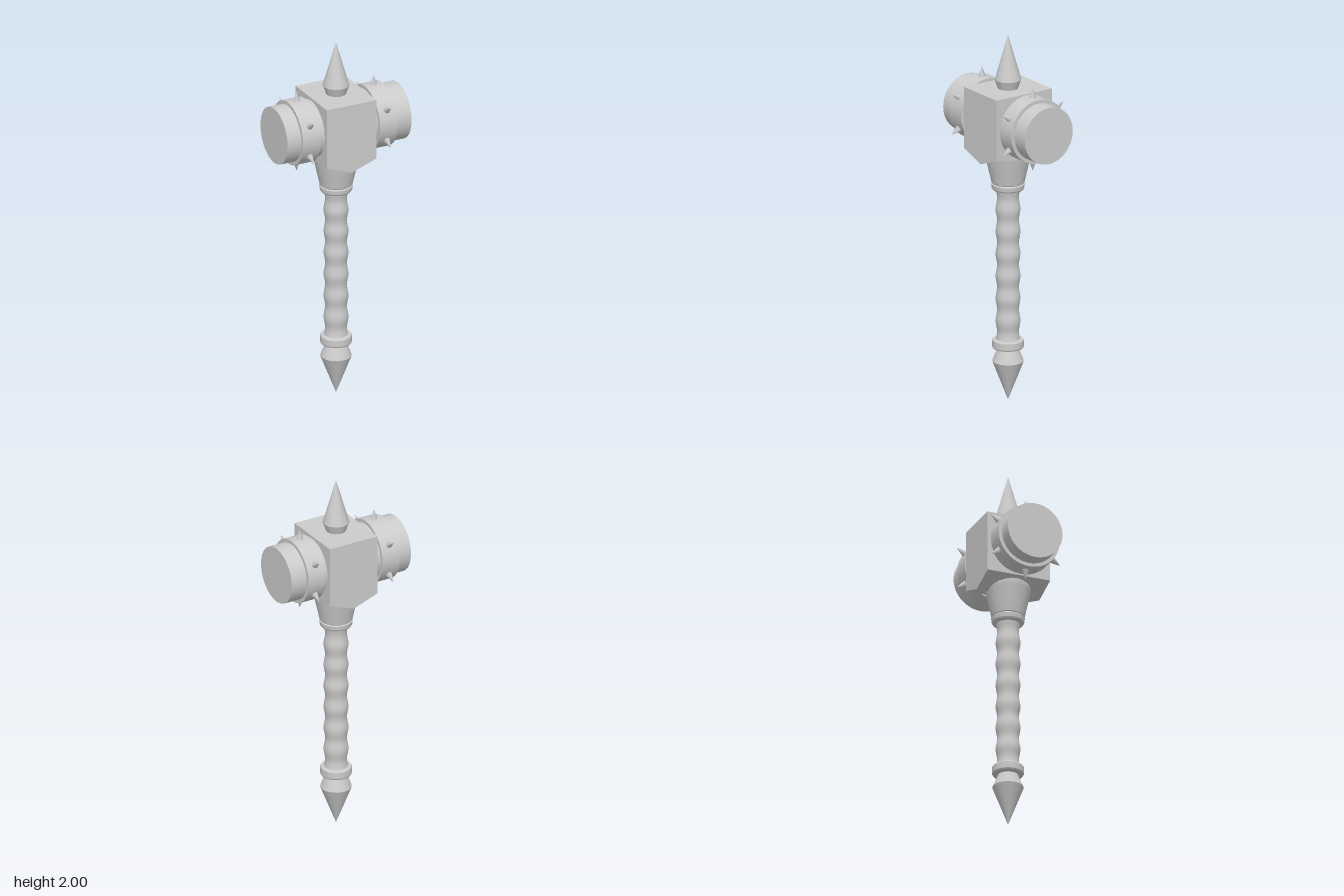
import * as THREE from 'three';
import { mergeGeometries } from 'three/addons/utils/BufferGeometryUtils.js';

const material = new THREE.MeshStandardMaterial({ color: 0xcccccc });

// Round part from [radius, y] points listed upwards, creased at every point
function turned(points, sides) {
  const rings = [];
  for (let i = 1; i < points.length; i++) {
    const [r0, y0] = points[i - 1], [r1, y1] = points[i];
    const ring = new THREE.CylinderGeometry(r1, r0, y1 - y0, sides, 1, true);
    rings.push(ring.translate(0, (y0 + y1) / 2, 0));
  }
  return mergeGeometries(rings);
}

export function createModel() {
  const model = new THREE.Group();
  const add = (name, geometry, parent = model) => {
    const mesh = new THREE.Mesh(geometry, material);
    mesh.name = name;
    parent.add(mesh);
    return mesh;
  };

  // Pointed pommel and its ring
  add('pommel', turned([[0, 0.005], [0.083, 0.217], [0.055, 0.285], [0.055, 0.3]], 16));
  add('pommelRing', turned([[0.05, 0.286], [0.079, 0.29], [0.083, 0.297], [0.083, 0.331],
    [0.079, 0.337], [0.05, 0.341]], 24));

  // Grip with evenly spaced swellings
  const grip = [];
  for (let i = 0; i <= 60; i++) {
    const y = 0.31 + (0.87 * i) / 60;
    grip.push(new THREE.Vector2(0.061 + 0.004 * Math.cos(((y - 0.926) / 0.122) * Math.PI * 2), y));
  }
  add('grip', new THREE.LatheGeometry(grip, 24));

  // Flared socket under the head
  add('socketRing', turned([[0.06, 1.152], [0.08, 1.157], [0.085, 1.165], [0.088, 1.187], [0.082, 1.194]], 24));
  add('socket', turned([[0.082, 1.192], [0.087, 1.197], [0.12, 1.345], [0.125, 1.4]], 24));

  // Head block with a shallow V underneath
  const outline = new THREE.Shape([[-0.145, 1.71], [-0.145, 1.377], [0, 1.325], [0.145, 1.377], [0.145, 1.71]]
    .map(([x, y]) => new THREE.Vector2(x, y)));
  add('headBlock', new THREE.ExtrudeGeometry(outline, { depth: 0.354, bevelEnabled: false }).translate(0, 0, -0.177));

  // Spike on top
  add('topSpike', turned([[0.052, 1.705], [0.07, 1.757], [0, 2]], 12));

  // Striking drums with spiked bands
  for (const [side, sign, bandX] of [['left', 1, 0.22], ['right', -1, -0.231]]) {
    const drum = new THREE.Group();
    drum.name = side + 'Drum';
    drum.position.y = 1.541;
    model.add(drum);
    add(side + 'Barrel', new THREE.CylinderGeometry(0.154, 0.154, 0.263, 48).rotateZ(Math.PI / 2)
      .translate(sign * 0.2315, 0, 0), drum);
    add(side + 'Band', new THREE.CylinderGeometry(0.173, 0.173, 0.103, 48).rotateZ(Math.PI / 2)
      .translate(bandX, 0, 0), drum);
    for (let i = 0; i < 6; i++) {
      const spike = new THREE.ConeGeometry(0.022, 0.063, 6).rotateY(Math.PI / 2).translate(0, 0.1955, 0);
      add(side + 'BandSpike', spike.rotateX((i * Math.PI) / 3).translate(bandX, 0, 0), drum);
    }
  }
  return model;
}
